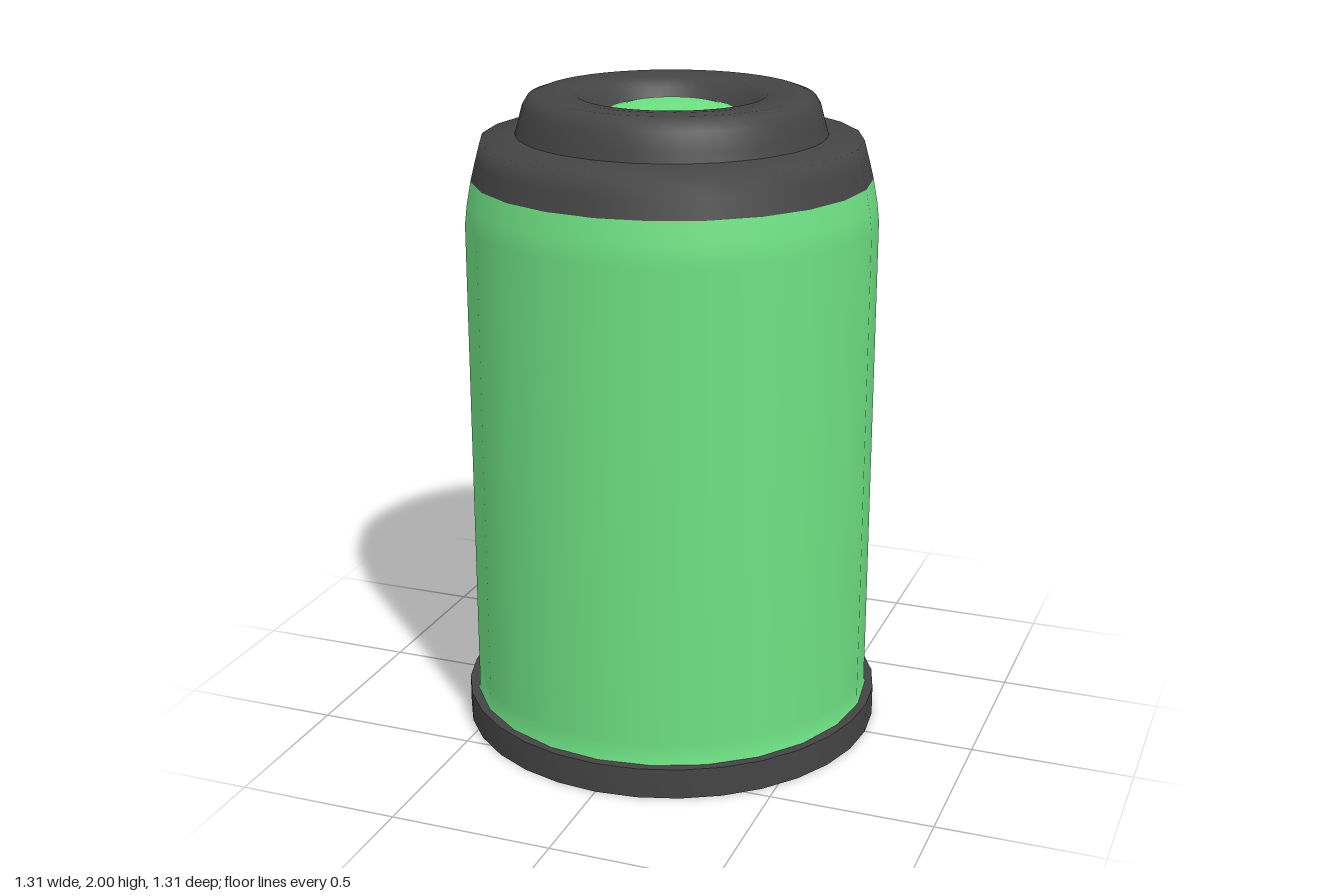
import * as THREE from 'three';
import { toCreasedNormals } from 'three/addons/utils/BufferGeometryUtils.js';

const GREEN = new THREE.MeshStandardMaterial({ color: 0x6ee083 });
const DARK = new THREE.MeshStandardMaterial({ color: 0x444444 });

// Turned part from [radius, height] pairs, listed from the bottom up the outside.
function turned(name, profile, sides, material, crease) {
  const points = profile.map(([r, y]) => new THREE.Vector2(r, y));
  let geometry = new THREE.LatheGeometry(points, sides);
  if (crease) geometry = toCreasedNormals(geometry, crease);
  const mesh = new THREE.Mesh(geometry, material);
  mesh.name = name;
  return mesh;
}

export function createModel() {
  const group = new THREE.Group();
  group.name = 'canister';

  // Flat foot disc
  group.add(turned('base', [[0, 0], [0.655, 0], [0.655, 0.095], [0, 0.095]], 32, DARK, 0.6));

  // Straight body with a slightly tapered shoulder; its lower lip is tucked into the base
  group.add(turned('body', [
    [0.64, 0.09], [0.625, 0.097], [0.625, 0.16], [0.625, 1.62], [0.618, 1.68], [0.605, 1.75],
  ], 24, GREEN));

  // Sloping collar and its nearly flat upper face
  group.add(turned('collar', [
    [0.605, 1.75], [0.59, 1.81], [0.575, 1.865], [0.47, 1.88], [0.4, 1.88],
  ], 24, DARK));

  // Raised rounded rim, falling into a funnel around the button
  group.add(turned('rim', [
    [0.47, 1.875], [0.46, 1.91], [0.445, 1.965], [0.43, 1.989], [0.4, 2],
    [0.34, 2], [0.285, 1.995], [0.255, 1.97], [0.23, 1.93], [0.19, 1.89],
  ], 48, DARK, 0.7));

  // Button sunk in the middle of the rim
  group.add(turned('button', [
    [0.195, 1.87], [0.195, 1.935], [0.185, 1.95], [0.14, 1.96], [0.07, 1.965], [0, 1.967],
  ], 32, GREEN));

  return group;
}
